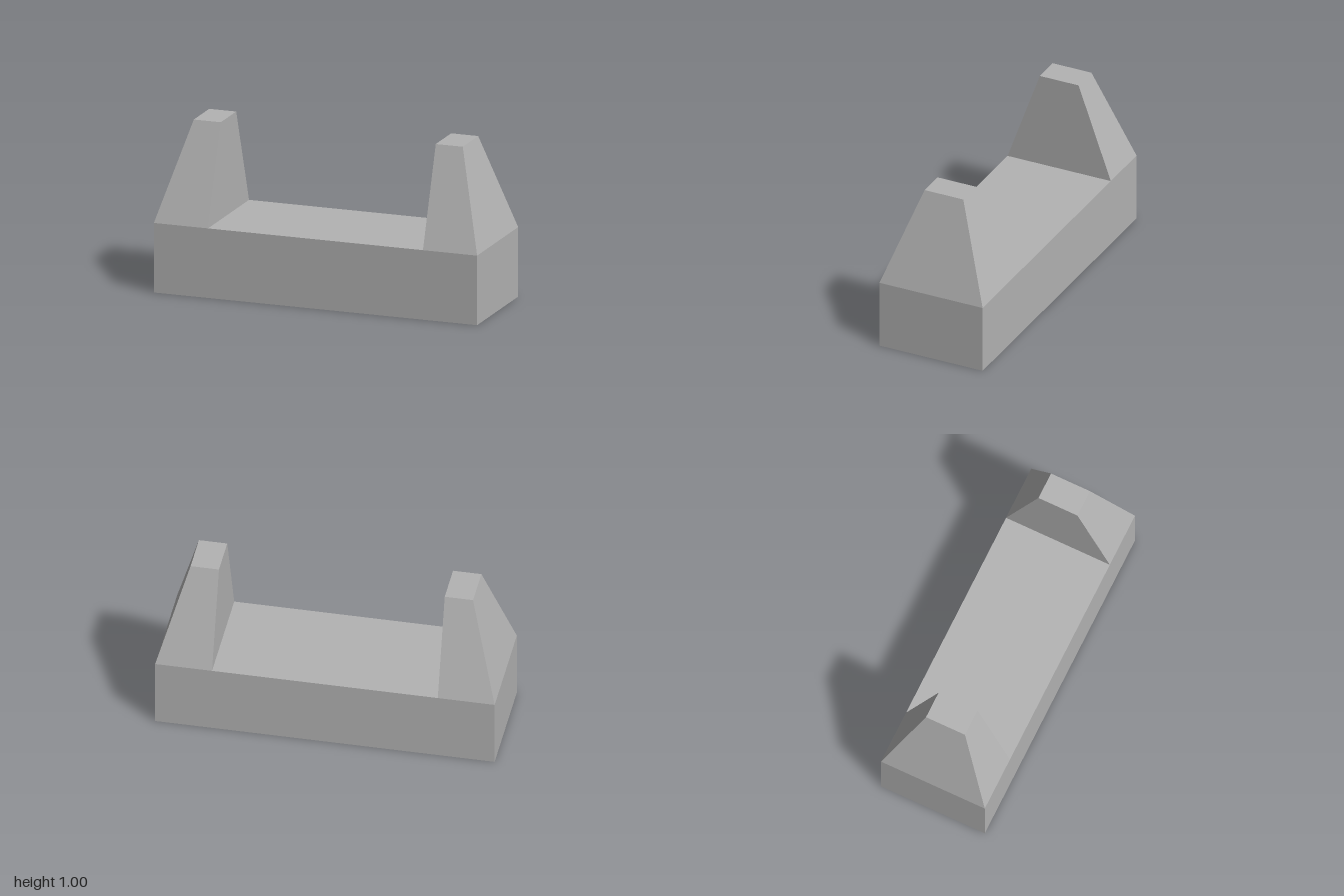
import * as THREE from 'three';

const BASE_H = 0.417, TOP_H = 1;
const HALF_DEPTH = 0.333, TOP_HALF_DEPTH = 0.125;
const INNER_X = 0.665, OUTER_X = 1, TOP_OUTER_X = 0.832;

// Tapered end post: upright inner face, other three sides sloping inward
function endPost(side) {
  const geo = new THREE.BoxGeometry(OUTER_X - INNER_X, TOP_H - BASE_H, 2 * HALF_DEPTH);
  geo.translate(side * (INNER_X + OUTER_X) / 2, (TOP_H + BASE_H) / 2, 0);
  const p = geo.attributes.position;
  const middle = (TOP_H + BASE_H) / 2;
  for (let i = 0; i < p.count; i++) {
    if (p.getY(i) < middle) continue;
    p.setZ(i, Math.sign(p.getZ(i)) * TOP_HALF_DEPTH);
    if (Math.abs(p.getX(i)) > TOP_OUTER_X) p.setX(i, side * TOP_OUTER_X);
  }
  geo.computeVertexNormals();
  return geo;
}

export function createModel() {
  const model = new THREE.Group();
  model.name = 'cradleBlock';
  const grey = new THREE.MeshStandardMaterial({ color: 0xb3b3b3 });
  grey.name = 'plain grey';

  // Long rectangular base
  const base = new THREE.Mesh(new THREE.BoxGeometry(2, BASE_H, 2 * HALF_DEPTH), grey);
  base.name = 'base';
  base.position.y = BASE_H / 2;
  model.add(base);

  // Mirrored posts at both ends
  for (const side of [-1, 1]) {
    const post = new THREE.Mesh(endPost(side), grey);
    post.name = side > 0 ? 'leftPost' : 'rightPost';
    model.add(post);
  }
  return model;
}
